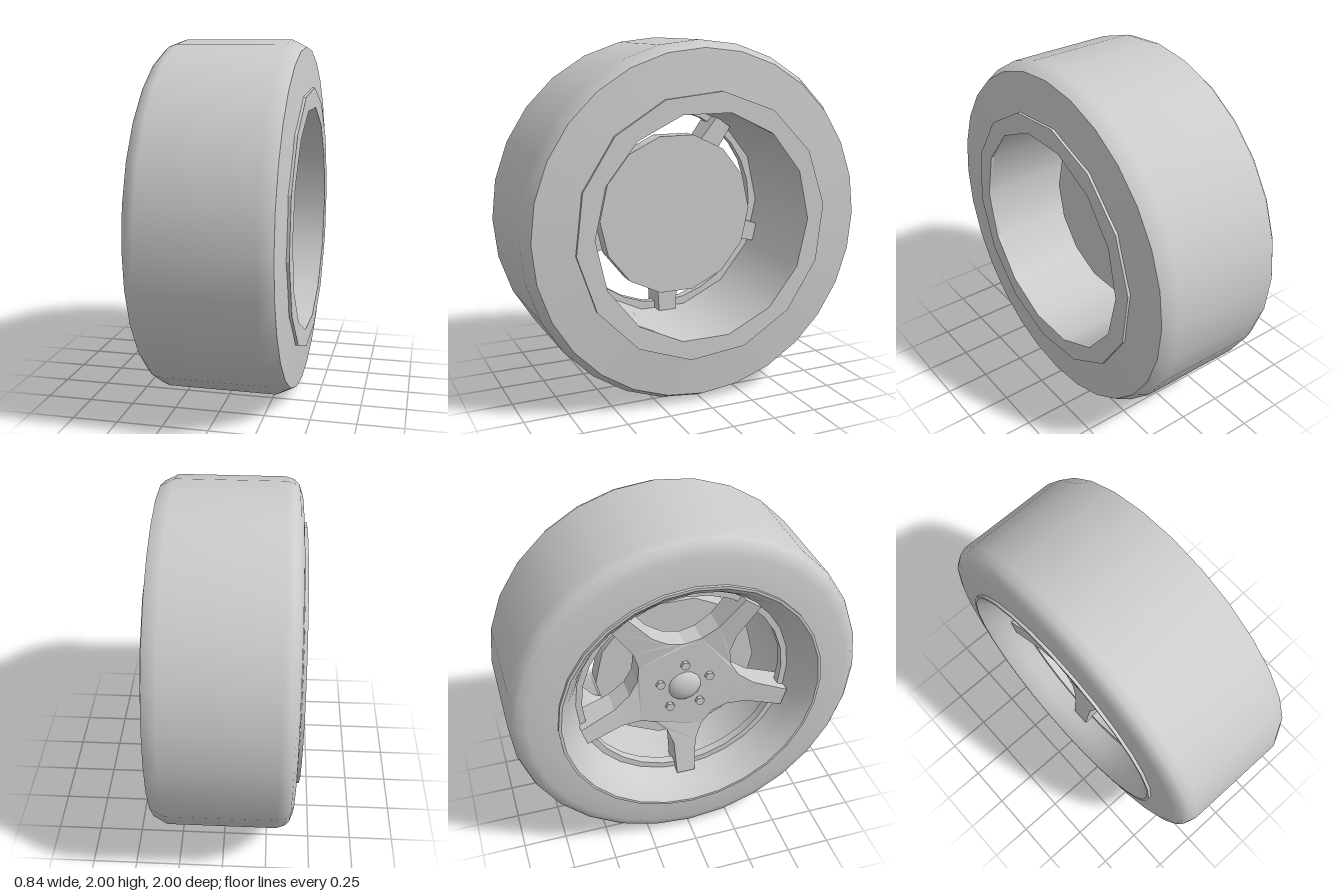
import * as THREE from 'three';

const grey = new THREE.MeshStandardMaterial({ color: 0xcccccc });
grey.name = 'plainGrey';

export function createModel() {
  const wheel = new THREE.Group();
  wheel.name = 'wheel';
  wheel.position.y = 1;

  const add = (name, geometry, parent = wheel) => {
    const mesh = new THREE.Mesh(geometry, grey);
    mesh.name = name;
    parent.add(mesh);
    return mesh;
  };

  // Revolves [radius, x] points about the axle; each strip keeps its ends sharp
  const turn = (name, sides, ...strips) => {
    const part = new THREE.Group();
    part.name = name;
    wheel.add(part);
    strips.forEach((strip) => {
      const g = new THREE.LatheGeometry(strip.map(([r, x]) => new THREE.Vector2(r, x)), sides);
      add(name + 'Surface', g.rotateZ(-Math.PI / 2), part);
    });
  };

  // Tyre: rounded outer shoulder, chamfered inner shoulder, flat inner sidewall
  turn('tyre', 28,
    [[0.72, -0.405], [0.8, -0.4], [0.91, -0.39], [0.96, -0.372], [0.985, -0.345], [1, -0.3], [1, 0.3], [0.96, 0.38]],
    [[0.96, 0.38], [0.72, 0.402]]);

  // Outer rim: seat ring behind the spokes, flared dish and lip
  turn('outerRim', 28,
    [[0.64, -0.19], [0.585, -0.19]],
    [[0.585, -0.19], [0.585, -0.24]],
    [[0.585, -0.24], [0.62, -0.24]],
    [[0.62, -0.24], [0.64, -0.28], [0.665, -0.33], [0.695, -0.38], [0.735, -0.42]],
    [[0.735, -0.42], [0.75, -0.42]],
    [[0.75, -0.42], [0.75, -0.395]]);

  // Inner barrel, a coarser polygon
  turn('barrel', 14, [[0.635, 0.415], [0.635, -0.195]]);

  // Inner flange: a polygon plate slightly turned against the barrel hole
  const polygon = (radius, sides, offset) => Array.from({ length: sides }, (_, i) => {
    const a = offset + (i / sides) * Math.PI * 2;
    return new THREE.Vector2(radius * Math.cos(a), radius * Math.sin(a));
  });
  const flange = new THREE.Shape(polygon(0.74, 14, 0.103));
  flange.holes.push(new THREE.Path(polygon(0.635, 14, 0)));
  add('innerFlange', new THREE.ExtrudeGeometry(flange, { depth: 0.02, bevelEnabled: false })
    .rotateY(Math.PI / 2)).position.x = 0.396;

  // Brake disc behind the spokes
  add('brakeDisc', new THREE.CylinderGeometry(0.47, 0.47, 0.1, 14).rotateZ(-Math.PI / 2)).position.x = -0.03;
  add('axleHub', new THREE.CylinderGeometry(0.2, 0.2, 0.1, 14).rotateZ(-Math.PI / 2)).position.x = -0.11;

  // Five-armed star with curved valleys between the arms
  const star = new THREE.Shape();
  const step = (Math.PI * 2) / 5;
  for (let i = 0; i < 5; i++) {
    const a = -Math.PI / 2 + i * step;
    const at = (r, w) => [r * Math.cos(a) - w * Math.sin(a), r * Math.sin(a) + w * Math.cos(a)];
    if (i === 0) star.moveTo(...at(0.41, -0.066));
    star.lineTo(...at(0.625, -0.054));
    star.lineTo(...at(0.625, 0.054));
    star.lineTo(...at(0.41, 0.066));
    const b = a + step;
    const mid = a + step / 2;
    const end = [0.41 * Math.cos(b) + 0.066 * Math.sin(b), 0.41 * Math.sin(b) - 0.066 * Math.cos(b)];
    star.quadraticCurveTo(0.2 * Math.cos(mid), 0.2 * Math.sin(mid), ...end);
  }
  const spokes = new THREE.ExtrudeGeometry(star, { depth: 0.1, bevelEnabled: false, curveSegments: 4 });
  // Dish the face so the arms stand further out than the hub
  const p = spokes.attributes.position;
  for (let i = 0; i < p.count; i++) {
    const r = Math.hypot(p.getX(i), p.getY(i));
    p.setZ(i, p.getZ(i) > 0.05 ? 0.205 + 0.14 * r : 0.12);
  }
  spokes.computeVertexNormals();
  add('spokes', spokes.rotateY(-Math.PI / 2));

  // Domed centre cap
  const cap = new THREE.SphereGeometry(0.1, 14, 5, 0, Math.PI * 2, 0, Math.PI / 2);
  add('centreCap', cap.scale(1, 0.55, 1).rotateZ(Math.PI / 2)).position.x = -0.235;

  // Wheel nuts
  for (let i = 0; i < 5; i++) {
    const a = Math.PI / 2 + i * step;
    const nut = new THREE.CylinderGeometry(0.027, 0.027, 0.05, 6).toNonIndexed();
    nut.computeVertexNormals();
    add('wheelNut', nut.rotateZ(Math.PI / 2)).position.set(-0.245, 0.15 * Math.sin(a), 0.15 * Math.cos(a));
  }

  const model = new THREE.Group();
  model.name = 'wheelModel';
  model.add(wheel);
  return model;
}
